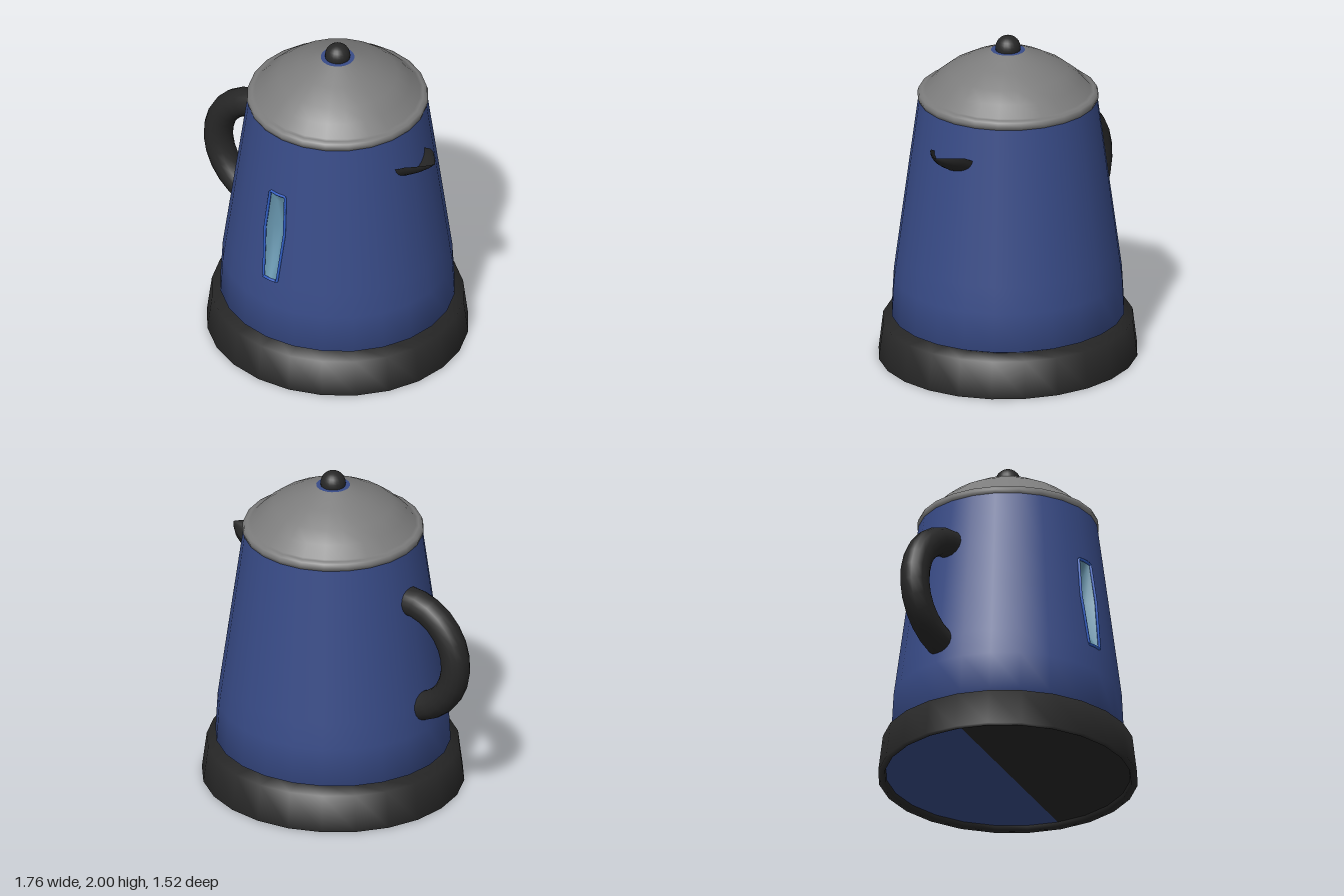
import * as THREE from 'three';

const AXIS = 0.094; // x of the pot's vertical axis
const SIDES = 24, FACET = 2 * Math.PI / SIDES;
const mat = (color, side = THREE.FrontSide) => new THREE.MeshStandardMaterial({ color, side });
const blue = mat(0x384b87), black = mat(0x272727), grey = mat(0x7c7c7c);

// Depth is squeezed slightly towards the bottom
const squeeze = (y) => THREE.MathUtils.lerp(0.967, 1, Math.min(1, y / 1.6));
// Radius of the straight tapered wall, and a point on its front two facets
const wallRadius = (y) => 0.688 - 0.1423 * (y - 0.5);
const wallPoint = (x, y, out = 0) => {
  const r = wallRadius(y), f = Math.abs(x) / (r * Math.sin(FACET));
  return [x, y, r * (1 - f * (1 - Math.cos(FACET))) * squeeze(y) + out];
};

function surface(verts, faces) {
  const g = new THREE.BufferGeometry();
  g.setAttribute('position', new THREE.Float32BufferAttribute(verts.flat(), 3));
  g.setIndex(faces);
  g.computeVertexNormals();
  return g;
}

// Turned shape with 24 sides
function turned(profile) {
  const g = new THREE.LatheGeometry(profile.map(([r, y]) => new THREE.Vector2(r, y)), SIDES);
  const p = g.attributes.position;
  for (let i = 0; i < p.count; i++) p.setZ(i, p.getZ(i) * squeeze(p.getY(i)));
  return g;
}

export function createModel() {
  const model = new THREE.Group();

  const add = (name, geometry, material, x = 0, y = 0, z = 0) => {
    const mesh = new THREE.Mesh(geometry, material);
    mesh.name = name;
    mesh.position.set(x, y, z);
    model.add(mesh);
  };

  add('base', turned([[0.738, 0.03], [0.745, 0], [0.785, 0], [0.755, 0.225], [0.6, 0.225], [0, 0.225]]), black, AXIS);

  // Two-tone underside, set a little into the base
  [['undersideFront', black, 0], ['undersideBack', blue, Math.PI]].forEach(([name, m, turn]) => {
    const half = new THREE.CircleGeometry(0.742, SIDES / 2, turn - FACET, Math.PI);
    half.rotateX(Math.PI / 2);
    half.scale(1, 1, 0.967);
    add(name, half, m, AXIS, 0.027, 0);
  });

  // Body, with two rows of the front two facets left out for the window
  const low = 0.662, mid = 0.99, high = 1.245;
  const wall = (y) => [wallRadius(y), y];
  const bodyProfile = [[0.58, 0.22], [0.61, 0.226], [0.703, 0.265], wall(0.5),
    wall(low), wall(mid), wall(high), wall(1.61)];
  const body = turned(bodyProfile);
  const rows = bodyProfile.length - 1;
  body.setIndex(Array.from(body.index.array).filter((_, k) => {
    const quad = Math.floor(k / 6), column = Math.floor(quad / rows), row = quad % rows;
    return !((column === 0 || column === SIDES - 1) && (row === 4 || row === 5));
  }));
  add('body', body, blue, AXIS);

  // Wall strips on both sides of the window
  const halfWidths = [[0.05, low], [0.073, mid], [0.057, high]];
  for (const side of [-1, 1]) {
    const verts = halfWidths.flatMap(([w, y]) =>
      [wallPoint(side * w, y), wallPoint(side * wallRadius(y) * Math.sin(FACET), y)]);
    const faces = [0, 1, 2, 1, 3, 2, 2, 3, 4, 3, 5, 4];
    const strip = surface(verts, side > 0 ? faces : faces.reverse());
    verts.forEach(([x, y], i) => {
      const a = Math.asin(x / wallRadius(y));
      strip.attributes.normal.setXYZ(i, 0.99 * Math.sin(a), 0.14, 0.99 * Math.cos(a));
    });
    add(side > 0 ? 'wallStripLeft' : 'wallStripRight', strip, blue, AXIS);
  }

  // Level window: hollow glass pocket inside a raised frame
  const [[wl], [wm], [wh]] = halfWidths;
  const outline = [[-wl, low], [0, low], [wl, low], [wm, mid], [wh, high], [0, high], [-wh, high], [-wm, mid]];
  const ring = (scale, out) => outline.map(([x, y]) => wallPoint(x * scale, mid + (y - mid) * scale, out));
  const pocketFaces = [];
  for (let i = 0; i < 8; i++) {
    const j = (i + 1) % 8;
    pocketFaces.push(i, j, 8 + i, j, 8 + j, 8 + i, 8 + i, 8 + j, 16);
  }
  const pocket = surface([...ring(1, 0), ...ring(0.65, -0.055), wallPoint(0, mid, -0.075)], pocketFaces);
  add('windowGlass', pocket, mat(0x6795ad), AXIS);
  const frameLine = new THREE.CatmullRomCurve3(
    ring(0.985, 0.002).map((p) => new THREE.Vector3(...p)), true, 'catmullrom', 0);
  add('windowFrame', new THREE.TubeGeometry(frameLine, 96, 0.009, 6, true), mat(0x2f5cc0), AXIS);

  // Lid with rolled rim, seat and knob
  add('lid', turned([[0.5, 1.602], [0.53, 1.606], [0.537, 1.63], [0.53, 1.652], [0.508, 1.66],
    [0.49, 1.664], [0.43, 1.73], [0.355, 1.79], [0.235, 1.855], [0.1, 1.912]]), grey, AXIS);
  add('knobSeat', turned([[0.1, 1.912], [0, 1.912]]), blue, AXIS);
  add('knob', new THREE.SphereGeometry(0.075, 20, 14), black, AXIS, 1.925, 0);

  // Handle: arc of a round bar with both ends inside the body
  const arc = new THREE.TorusGeometry(0.342, 0.087, 16, 14, 3.35);
  arc.rotateZ(1.3);
  add('handle', arc, black, -0.455, 0.97, 0);

  // Spout: open lip lofted from half ellipses [x, half width, rim y, keel y]
  const sections = [[0.56, 0.16, 1.38, 1.27], [0.645, 0.138, 1.415, 1.317], [0.69, 0.122, 1.44, 1.343],
    [0.735, 0.097, 1.449, 1.372], [0.785, 0.045, 1.451, 1.413], [0.82, 0, 1.452, 1.45]];
  const steps = 12, verts = [], faces = [];
  sections.forEach(([x, w, top, keel], s) => {
    for (let i = 0; i <= steps; i++) {
      const a = Math.PI * i / steps;
      verts.push([x, top - (top - keel) * Math.sin(a), w * Math.cos(a)]);
      if (s && i) {
        const d = s * (steps + 1) + i, c = d - 1, b = d - steps - 1, e = b - 1;
        faces.push(e, b, c, c, b, d);
      }
    }
  });
  add('spout', surface(verts, faces), mat(0x272727, THREE.DoubleSide));

  return model;
}
